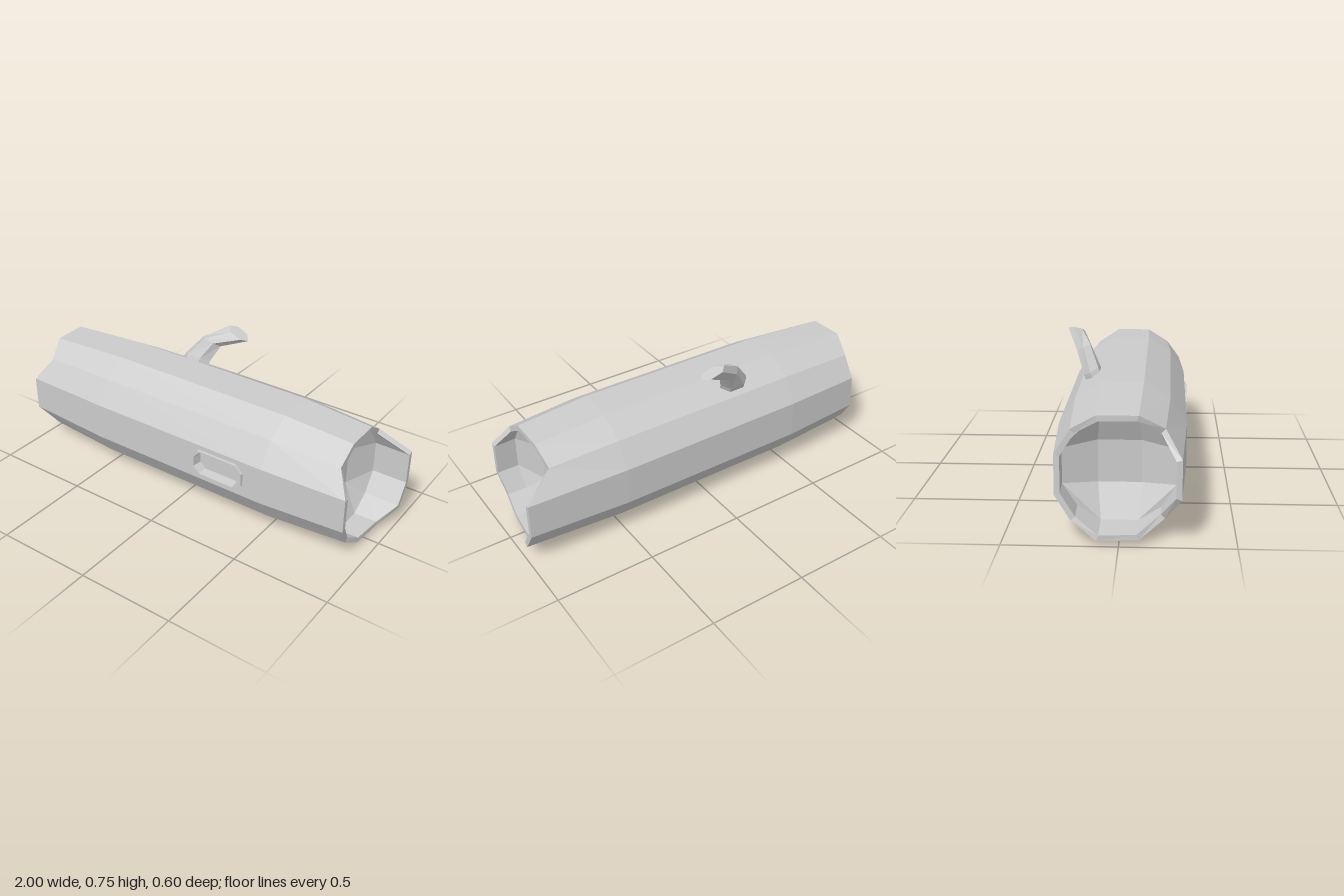
import * as THREE from 'three';

const material = new THREE.MeshStandardMaterial({ color: 0xcccccc, flatShading: true });
const V = (x, y, z) => new THREE.Vector3(x, y, z);

// Mesh from a list of planar-ish polygons (arrays of Vector3, counter-clockwise)
function polygons(name, faces) {
  const pts = [];
  for (const f of faces)
    for (let i = 1; i < f.length - 1; i++) pts.push(f[0], f[i], f[i + 1]);
  const geometry = new THREE.BufferGeometry().setFromPoints(pts);
  geometry.computeVertexNormals();
  const mesh = new THREE.Mesh(geometry, material);
  mesh.name = name;
  return mesh;
}

// Quads joining consecutive rings; skip(i, j) leaves an opening
function loft(rings, skip = () => false) {
  const faces = [];
  for (let i = 0; i < rings.length - 1; i++) {
    const a = rings[i], b = rings[i + 1], n = a.length;
    for (let j = 0; j < n; j++) {
      const k = (j + 1) % n;
      if (!skip(i, j)) faces.push([a[j], a[k], b[k], b[j]]);
    }
  }
  return faces;
}

// Twelve-sided log section as [y, z], going top, front, bottom, back
const CY = 0.297, CZ = -0.005;
const section = [
  [0.294, -0.097], [0.294, 0.097], [0.218, 0.218], [0.097, 0.295], [-0.097, 0.295], [-0.218, 0.218],
  [-0.294, 0.097], [-0.294, -0.097], [-0.218, -0.218], [-0.097, -0.295], [0.097, -0.295], [0.218, -0.218],
];
// x of the ragged rims, one per section corner
const rightRim = [0.86, 0.86, 0.86, 0.93, 0.93, 0.915, 0.925, 0.94, 1.0, 1.0, 1.0, 0.85];
const leftRim = [-0.965, -0.96, -0.91, -0.985, -0.985, -0.91, -0.985, -1.0, -0.95, -0.94, -0.93, -0.93];

const ring = (x, s) => section.map(([y, z], j) => V(Array.isArray(x) ? x[j] : x, CY + y * s, CZ + z * s));

// Dished end wall: twelve edge points joined to four sunken inner ones
function endWall(name, p, side) {
  const q = (y, z) => V(side * 0.75, CY + y, CZ + z);
  const A = q(0.097, -0.097), B = q(0.097, 0.097), C = q(-0.097, 0.097), D = q(-0.097, -0.097);
  const faces = [
    [p[0], p[1], B, A], [B, p[1], p[2], p[3]], [p[3], p[4], C, B],
    [C, p[4], p[5], p[6]], [p[6], p[7], D, C], [D, p[7], p[8], p[9]],
    [p[9], p[10], A, D], [A, p[10], p[11], p[0]], [A, B, C, D],
  ];
  if (side < 0) faces.forEach((f) => f.reverse());
  return polygons(name, faces);
}

// Elongated octagon around the knot hole centre, counter-clockwise
const KX = 0.25, KY = 0.297;
function octagon(hx, hy, cut, z) {
  return [
    [hx, -hy + cut], [hx, hy - cut], [hx - cut, hy], [-hx + cut, hy],
    [-hx, hy - cut], [-hx, -hy + cut], [-hx + cut, -hy], [hx - cut, -hy],
  ].map(([x, y]) => V(KX + x, KY + y, z));
}

export function createModel() {
  const group = new THREE.Group();
  group.name = 'hollowLog';

  // Bark, rims and the short inner walls
  const rings = [
    ring(-0.82, 0.84), ring(leftRim, 0.83), ring(leftRim, 0.915), ring(-0.5, 1),
    ring(0.5, 1), ring(rightRim, 0.915), ring(rightRim, 0.83), ring(0.82, 0.84),
  ];
  group.add(polygons('bark', loft(rings, (i, j) => i === 3 && j === 3)));
  group.add(endWall('leftEndWall', rings[7], 1));
  group.add(endWall('rightEndWall', rings[0], -1));

  // Front bark panel with an opening for the knot
  const panel = new THREE.Shape([
    [-0.5, CY - 0.097], [0.5, CY - 0.097], [0.5, CY + 0.097], [-0.5, CY + 0.097],
  ].map(([x, y]) => new THREE.Vector2(x, y)));
  panel.holes.push(new THREE.Path(octagon(0.14, 0.064, 0.035, 0).map((p) => new THREE.Vector2(p.x, p.y))));
  const panelMesh = new THREE.Mesh(new THREE.ShapeGeometry(panel), material);
  panelMesh.position.z = CZ + 0.295;
  panelMesh.name = 'frontBarkPanel';
  group.add(panelMesh);

  // Knot hole: raised lip and sunken floor
  const knot = [
    octagon(0.15, 0.073, 0.04, 0.285), octagon(0.147, 0.071, 0.038, 0.302),
    octagon(0.132, 0.06, 0.034, 0.302), octagon(0.122, 0.053, 0.03, 0.255),
  ];
  group.add(polygons('knotHole', [...loft(knot), knot[3]]));

  // Bent six-sided branch stub: centre and two half-axes per section
  const branch = [
    [V(-0.22, 0.5, -0.14), V(0.085, 0, 0), V(0, -0.022, -0.04)],
    [V(-0.2, 0.575, -0.172), V(0.08, 0, 0), V(0, -0.022, -0.04)],
    [V(-0.137, 0.668, -0.213), V(0.054, -0.014, 0), V(0, -0.016, -0.038)],
    [V(-0.003, 0.733, -0.262), V(0.062, -0.024, 0.008), V(0, 0.002, -0.04)],
  ].map(([c, u, v]) => Array.from({ length: 6 }, (_, k) => {
    const a = (k * Math.PI) / 3;
    return c.clone().addScaledVector(u, Math.cos(a)).addScaledVector(v, Math.sin(a));
  }));
  group.add(polygons('branchStub', [...loft(branch), branch[3]]));

  return group;
}
